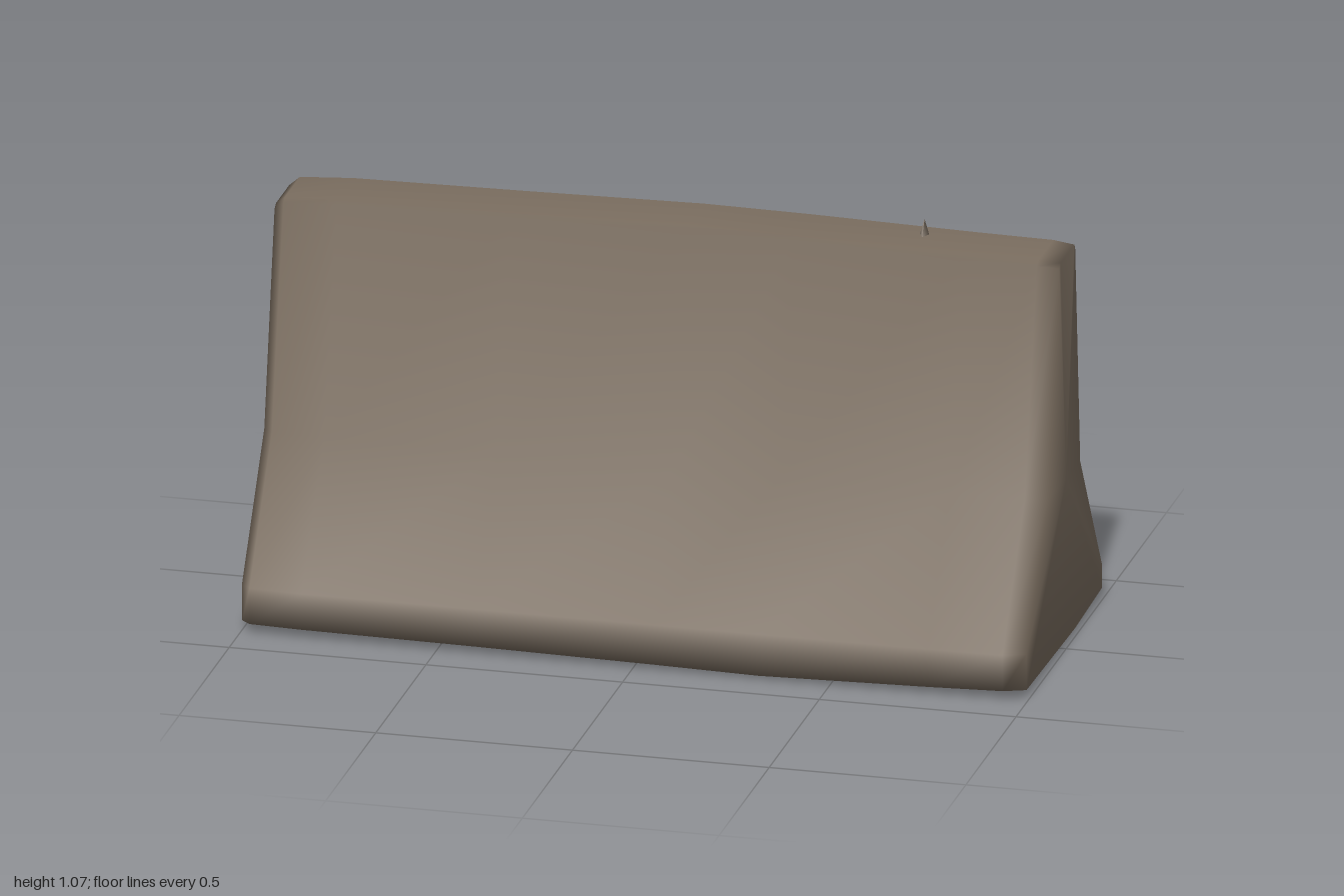
import * as THREE from 'three';

const concrete = new THREE.MeshStandardMaterial({ color: 0x7b6e60 });
concrete.name = 'weathered concrete';

// Lofts cross-sections (arrays of [x, y, z]) along x and closes both ends.
function loft(rings, capCentres) {
  const n = rings[0].length, last = rings.length - 1;
  const points = [...rings.flat(), ...capCentres];
  const index = [];
  for (let i = 0; i < last; i++) {
    for (let j = 0; j < n; j++) {
      const k = (j + 1) % n;
      const a = i * n + j, b = i * n + k, c = b + n, d = a + n;
      index.push(a, d, c, a, c, b);
    }
  }
  const left = rings.length * n, right = left + 1;
  for (let j = 0; j < n; j++) {
    const k = (j + 1) % n;
    index.push(left, j, k, right, last * n + k, last * n + j);
  }
  const geometry = new THREE.BufferGeometry();
  geometry.setAttribute('position', new THREE.Float32BufferAttribute(points.flat(), 3));
  geometry.setIndex(index);
  geometry.computeVertexNormals();
  return geometry;
}

export function createModel() {
  const group = new THREE.Group();
  group.name = 'concreteBarrier';

  // Barrier profile as [z, y], from the front foot over the top to the back foot
  const profile = [
    [0.4, 0.03], [0.403, 0.125], [0.18, 0.455], [0.06, 1.03], [0.045, 1.04],
    [-0.11, 1.04], [-0.12, 1.03], [-0.185, 0.44], [-0.403, 0.09], [-0.4, 0.03], [-0.13, 0.02],
  ];
  // Stations along the length: [x, rise of the top, drop of the underside, edge inset]
  const stations = [
    [-1, -0.035, 0, 0.03], [-0.975, -0.014, 0, 0.008], [-0.84, -0.006, 0, 0],
    [-0.4, 0, 0.004, 0], [0.05, 0.008, 0.01, 0], [0.32, 0.005, 0.015, 0],
    [0.75, -0.004, 0.005, 0], [0.94, -0.006, 0, 0.003], [0.995, -0.01, 0, 0.025],
  ];
  const rings = stations.map(([x, rise, drop, inset]) => profile.map(([z, y]) => [
    x,
    y > 0.9 ? y + rise : y < 0.04 ? y - drop : y,
    z - Math.sign(z) * inset * (y > 0.9 ? 0.4 : 1),
  ]));
  const body = new THREE.Mesh(loft(rings, [[-1, 0.45, 0], [1, 0.45, 0]]), concrete);
  body.name = 'barrierBody';
  group.add(body);

  // Small broken chip standing on the top edge
  const chip = new THREE.Mesh(new THREE.ConeGeometry(0.018, 0.05, 3), concrete);
  chip.name = 'brokenChip';
  chip.position.set(0.625, 1.053, -0.055);
  chip.rotation.x = -0.2;
  group.add(chip);

  return group;
}
